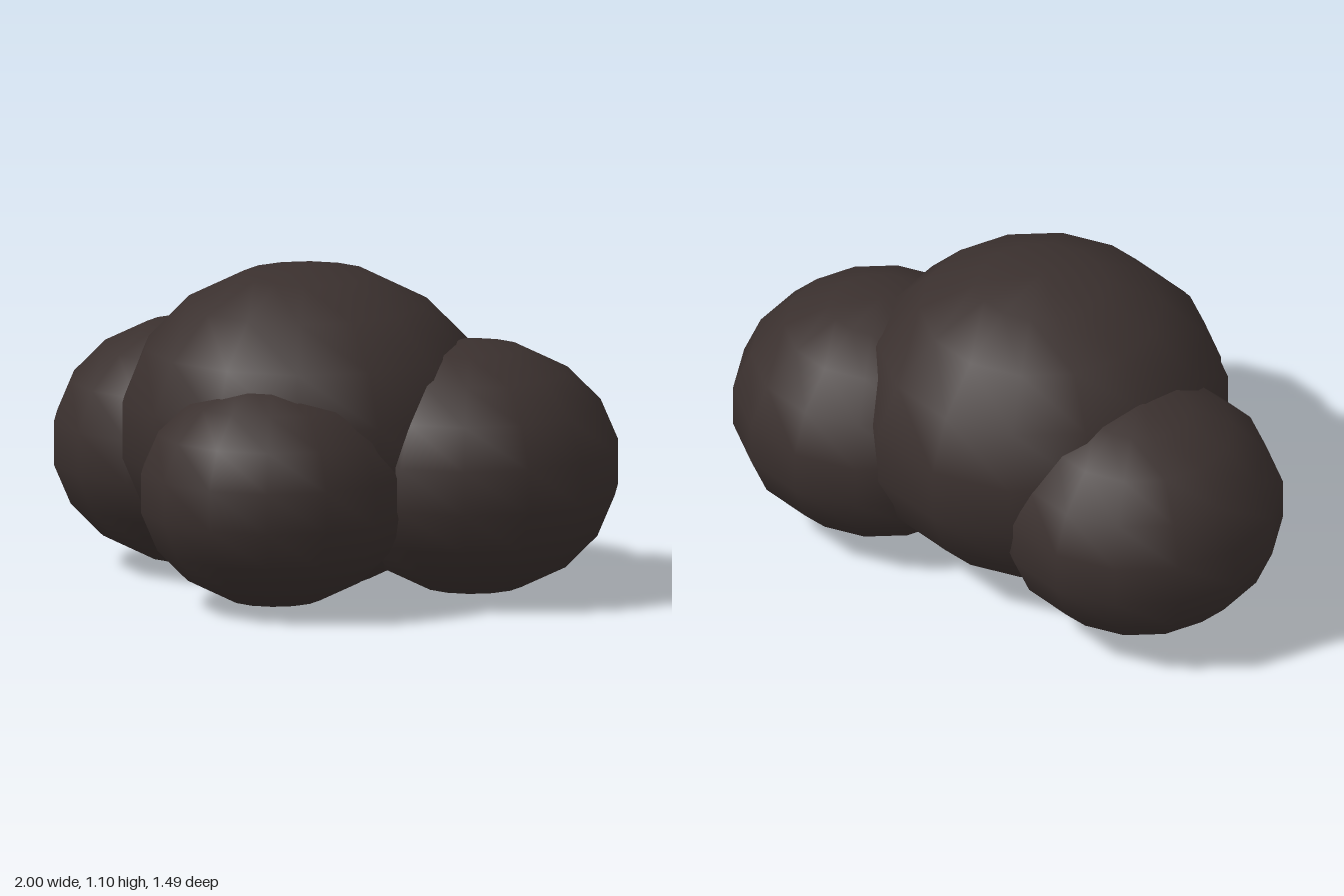
import * as THREE from 'three';

// Cluster of four slightly flattened, low-segment smooth lobes.
export function createModel() {
  const group = new THREE.Group();
  group.name = 'lobeCluster';
  const material = new THREE.MeshStandardMaterial({ color: 0x3a302e });

  // Shared unit ball, turned so that a column of vertices faces the front
  const ball = new THREE.SphereGeometry(1, 14, 9);
  ball.rotateY(Math.PI / 2);

  // name, centre [x, y, z], horizontal radius, vertical radius
  const lobes = [
    ['centreLobe', [-0.03, 0.555, -0.085], 0.638, 0.55],
    ['leftLobe', [0.515, 0.436, -0.25], 0.506, 0.431],
    ['rightLobe', [-0.53, 0.437, -0.215], 0.49, 0.42],
    ['frontLobe', [0.055, 0.406, 0.29], 0.463, 0.397],
  ];
  for (const [name, centre, radius, height] of lobes) {
    const lobe = new THREE.Mesh(ball, material);
    lobe.name = name;
    lobe.position.set(...centre);
    lobe.scale.set(radius, height, radius);
    group.add(lobe);
  }
  return group;
}
